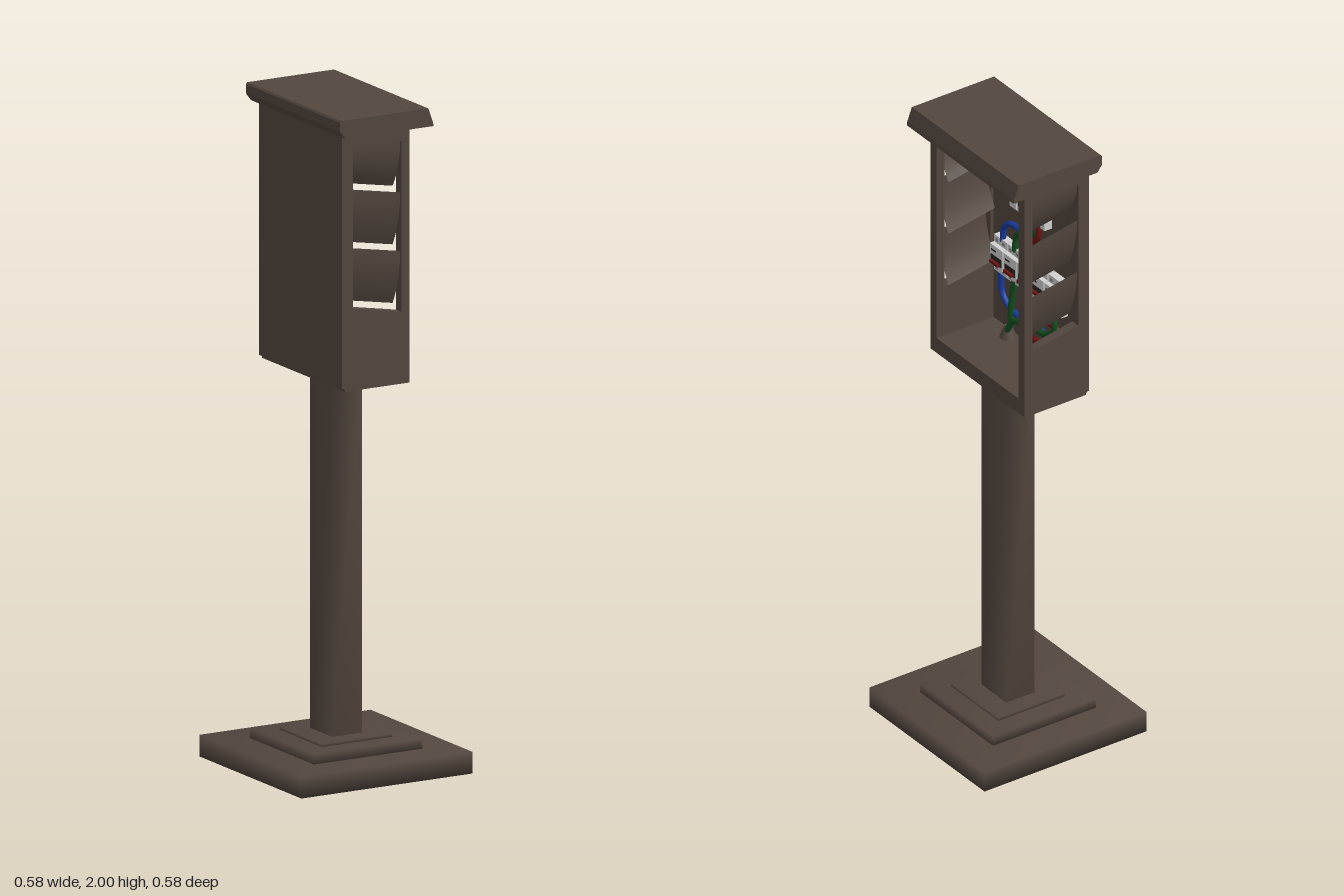
import * as THREE from 'three';
import { mergeVertices } from 'three/addons/utils/BufferGeometryUtils.js';

const paint = (name, color, side = THREE.FrontSide) => {
  const m = new THREE.MeshStandardMaterial({ color, side });
  m.name = name;
  return m;
};

export function createModel() {
  const model = new THREE.Group();
  model.name = 'electricalPedestal';
  const brown = paint('brown metal', 0x53473f, THREE.DoubleSide);
  const white = paint('white plastic', 0xd2d2d2);
  const grey = paint('grey plastic', 0x8c8c8c);
  const dark = paint('dark plastic', 0x262423);
  const red = paint('red', 0x6e1613);
  const green = paint('green', 0x14501f);
  const blue = paint('blue', 0x1b3c9c);

  const add = (name, geo, mat, parent = model) => {
    const m = new THREE.Mesh(geo, mat);
    m.name = name;
    parent.add(m);
    return m;
  };
  const group = (name) => {
    const g = new THREE.Group();
    g.name = name;
    model.add(g);
    return g;
  };
  // Box given by its lower and upper limits on each axis
  const boxGeo = (x0, x1, y0, y1, z0, z1) =>
    new THREE.BoxGeometry(x1 - x0, y1 - y0, z1 - z0)
      .translate((x0 + x1) / 2, (y0 + y1) / 2, (z0 + z1) / 2);
  const box = (name, mat, lim, parent) => add(name, boxGeo(...lim), mat, parent);
  // Box with shared corners, so its shading is smooth
  const softBox = (name, mat, lim, taper = 1) => {
    let g = boxGeo(...lim);
    g.deleteAttribute('uv');
    g.deleteAttribute('normal');
    g = mergeVertices(g);
    const p = g.attributes.position;
    for (let i = 0; i < p.count; i++) {
      if (p.getY(i) > (lim[2] + lim[3]) / 2) p.setXYZ(i, p.getX(i) * taper, p.getY(i), p.getZ(i) * taper);
    }
    g.computeVertexNormals();
    return add(name, g, mat);
  };

  // Base and post
  softBox('basePlate', brown, [-0.288, 0.288, 0, 0.065, -0.288, 0.288]);
  softBox('baseStep', brown, [-0.183, 0.183, 0.06, 0.095, -0.183, 0.183], 0.99);
  softBox('postCollar', brown, [-0.12, 0.12, 0.09, 0.104, -0.12, 0.12], 0.98);
  softBox('post', brown, [-0.05, 0.05, 0.09, 1.19, -0.062, 0.062]);

  // Cabinet shell, open towards +x
  const cabinet = group('cabinet');
  box('cabinetBack', brown, [-0.12, -0.095, 1.19, 1.95, -0.235, 0.235], cabinet);
  box('cabinetFloor', brown, [-0.11, 0.108, 1.18, 1.23, -0.235, 0.235], cabinet);
  box('cabinetCeiling', brown, [-0.12, 0.108, 1.92, 1.95, -0.235, 0.235], cabinet);

  // Side walls with a window of three scooped louvres
  const wall = new THREE.Shape([[-0.12, 1.195], [-0.105, 1.18], [0.108, 1.18], [0.108, 1.95], [-0.12, 1.95]]
    .map(([x, y]) => new THREE.Vector2(x, y)));
  wall.holes.push(new THREE.Path([[-0.083, 1.425], [-0.083, 1.905], [0.08, 1.905], [0.08, 1.395]]
    .map(([x, y]) => new THREE.Vector2(x, y))));
  for (const s of [-1, 1]) {
    const g = new THREE.ExtrudeGeometry(wall, { depth: 0.03, bevelEnabled: false });
    g.translate(0, 0, s > 0 ? 0.205 : -0.235);
    add('sideWall', g, brown, cabinet);
    [[1.905, 1.775], [1.765, 1.6], [1.59, 1.425]].forEach(([top, bottom], k) => {
      const plate = new THREE.PlaneGeometry(0.165, 1, 6, 8);
      const p = plate.attributes.position;
      for (let i = 0; i < p.count; i++) {
        const x = p.getX(i), t = 0.5 - p.getY(i);
        const slope = k === 0 ? t : 1;
        p.setXYZ(i, x - 0.0015, top + (bottom - top) * t - 0.18 * x * slope,
          s * (0.229 - 0.045 * t * t));
      }
      plate.computeVertexNormals();
      add('louvre', plate, brown, cabinet);
    });
  }

  // Roof with a sloping eave over the opening
  const roofShape = new THREE.Shape([[-0.145, 1.968], [-0.128, 1.945], [0.17, 1.945], [0.168, 1.957],
    [0.152, 2], [-0.14, 2], [-0.145, 1.995]].map(([x, y]) => new THREE.Vector2(x, y)));
  add('roof', new THREE.ExtrudeGeometry(roofShape, { depth: 0.534, bevelEnabled: false })
    .translate(0, 0, -0.267), brown);

  // Lamp under the eave
  box('lamp', white, [0.07, 0.125, 1.922, 1.936, -0.175, -0.095]);
  box('lampBracket', grey, [0.1, 0.118, 1.933, 1.942, -0.233, -0.1]);

  // Main breaker with toothed terminal rows
  const main = group('mainBreaker');
  box('mainBody', white, [-0.096, -0.066, 1.7, 1.855, -0.087, 0.087], main);
  for (let i = 0; i < 5; i++) {
    const z = -0.087 + i * 0.0355;
    for (const y of [1.677, 1.85]) box('terminalTooth', white, [-0.096, -0.068, y, y + 0.028, z, z + 0.032], main);
    for (const y of [1.702, 1.842]) box('terminalSlot', dark, [-0.068, -0.064, y, y + 0.012, z + 0.011, z + 0.021], main);
  }
  box('mainFacePlate', grey, [-0.067, -0.062, 1.727, 1.828, -0.025, 0.025], main);
  box('mainSwitchFrame', dark, [-0.063, -0.06, 1.735, 1.82, -0.018, 0.018], main);
  box('mainSwitch', red, [-0.062, -0.05, 1.75, 1.806, -0.011, 0.011], main);

  // Row of five small breakers on a rail
  const row = group('breakerRow');
  box('mountingRail', grey, [-0.096, -0.085, 1.46, 1.5, -0.175, 0.175], row);
  for (let i = -2; i <= 2; i++) {
    const z = -i * 0.068;
    box('breakerBody', white, [-0.094, -0.07, 1.42, 1.54, z - 0.032, z + 0.032], row);
    box('breakerNose', white, [-0.071, -0.055, 1.447, 1.515, z - 0.032, z + 0.032], row);
    box('switchSlot', dark, [-0.056, -0.053, 1.457, 1.483, z - 0.025, z + 0.025], row);
    box('switchLever', red, [-0.055, -0.044, 1.459, 1.468, z - 0.02, z + 0.02], row);
    box('ratingMark', dark, [-0.056, -0.054, 1.496, 1.501, z + 0.002, z + 0.024], row);
    for (const y of [1.428, 1.523])
      for (const d of [-0.016, 0.016]) box('screwHole', grey, [-0.071, -0.068, y, y + 0.01, z + d - 0.006, z + d + 0.006], row);
  }

  // Wires, each a list of (y, z) points
  const wires = group('wires');
  const wire = (name, mat, x, pts) => {
    const path = new THREE.CatmullRomCurve3(pts.map(([y, z]) => new THREE.Vector3(x, y, z)), false, 'centripetal');
    add(name, new THREE.TubeGeometry(path, 28, 0.0095, 8), mat, wires);
  };
  wire('blueFeed', blue, -0.078, [[1.69, -0.004], [1.64, -0.004], [1.615, 0.03], [1.605, 0.1], [1.58, 0.128], [1.53, 0.136]]);
  wire('greenFeed', green, -0.074, [[1.69, -0.03], [1.64, -0.028], [1.612, 0], [1.602, 0.045], [1.58, 0.063], [1.53, 0.068]]);
  wire('redFeed', red, -0.07, [[1.69, -0.055], [1.64, -0.052], [1.61, -0.025], [1.595, 0.01], [1.57, 0.02], [1.53, 0.022]]);
  wire('blueOutlet', blue, -0.082, [[1.43, 0.148], [1.35, 0.145], [1.318, 0.11], [1.308, 0.05], [1.32, -0.03], [1.3, -0.085], [1.25, -0.1]]);
  wire('greenOutlet', green, -0.074, [[1.43, 0.07], [1.36, 0.085], [1.25, 0.092]]);
  wire('redOutlet', red, -0.08, [[1.43, 0], [1.34, 0], [1.25, -0.002]]);
  wire('redLoop', red, -0.068, [[1.43, -0.005], [1.395, -0.03], [1.38, -0.1], [1.37, -0.15], [1.33, -0.158], [1.295, -0.1], [1.28, -0.03], [1.25, -0.004]]);
  wire('greenLoop', green, -0.06, [[1.43, -0.145], [1.37, -0.145], [1.34, -0.11], [1.325, -0.02], [1.3, 0.06], [1.25, 0.09]]);

  // Cable glands on the floor
  for (const z of [0.092, -0.003, -0.1]) {
    add('cableGland', new THREE.CylinderGeometry(0.011, 0.027, 0.04, 16).translate(-0.066, 1.248, z), brown, wires);
  }
  return model;
}
